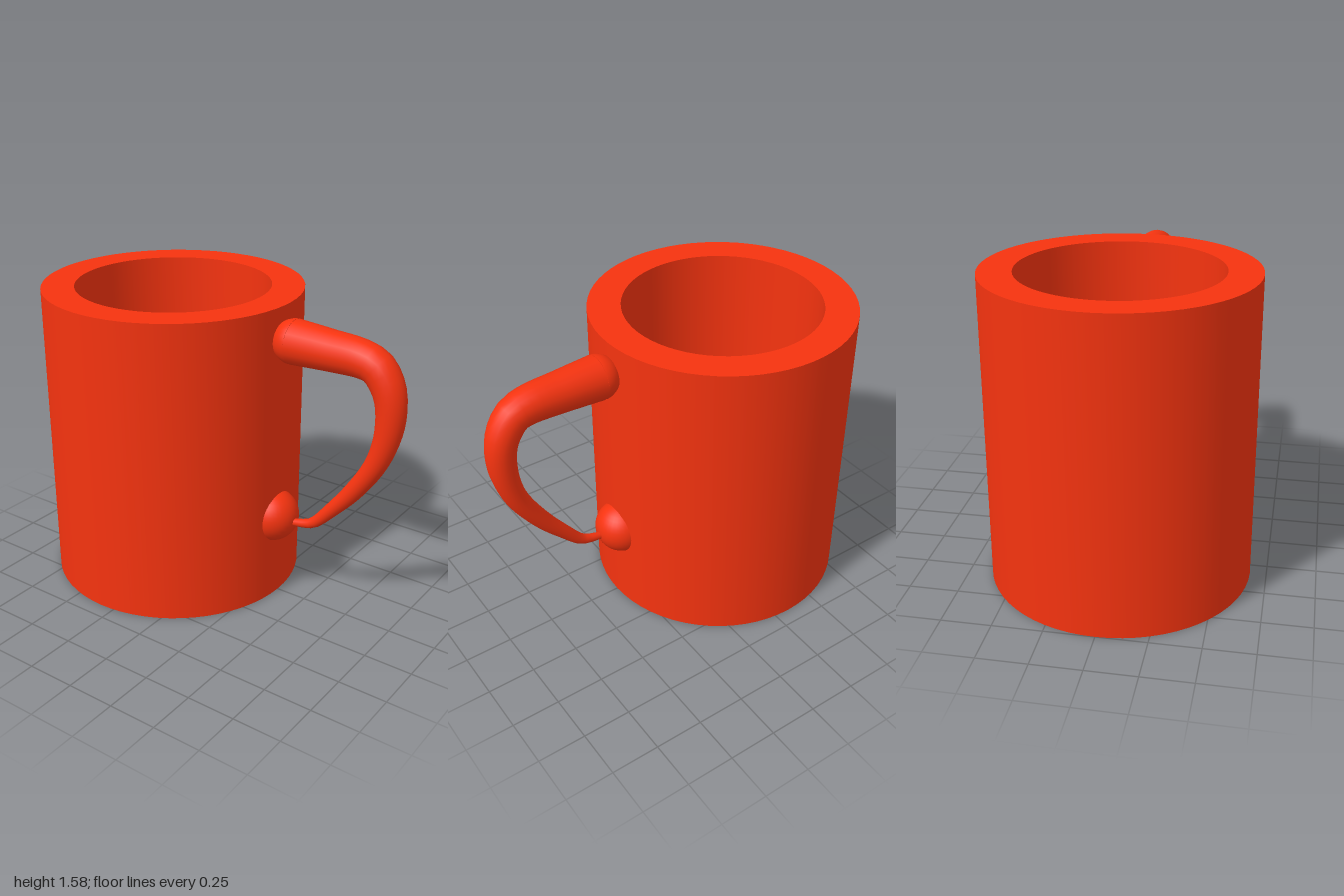
import * as THREE from 'three';
import { toCreasedNormals } from 'three/addons/utils/BufferGeometryUtils.js';

// Tube along a smooth curve; each point is [x, y, radius]
function taperedTube(points, segments, sides) {
  const curve = new THREE.CatmullRomCurve3(points.map(([x, y]) => new THREE.Vector3(x, y, 0)));
  const geo = new THREE.TubeGeometry(curve, segments, 1, sides, false);
  const pos = geo.attributes.position;
  const v = new THREE.Vector3();
  for (let i = 0; i <= segments; i++) {
    const u = i / segments;
    const centre = curve.getPointAt(u);
    const t = curve.getUtoTmapping(u) * (points.length - 1);
    const k = Math.min(Math.floor(t), points.length - 2);
    const radius = THREE.MathUtils.lerp(points[k][2], points[k + 1][2], t - k);
    for (let j = 0; j <= sides; j++) {
      const n = i * (sides + 1) + j;
      v.fromBufferAttribute(pos, n).sub(centre).multiplyScalar(radius).add(centre);
      pos.setXYZ(n, v.x, v.y, v.z);
    }
  }
  return geo;
}

export function createModel() {
  const model = new THREE.Group();
  model.name = 'mug';
  const red = new THREE.MeshStandardMaterial({ color: 0xf5330f });

  function add(name, geometry, x = 0, y = 0, parent = model) {
    const mesh = new THREE.Mesh(geometry, red);
    mesh.name = name;
    mesh.position.set(x, y, 0);
    parent.add(mesh);
    return mesh;
  }

  // Thick-walled cup with a shallow recess underneath
  const profile = [
    [0, 0.05], [0.5, 0.05], [0.5, 0], [0.667, 0],
    [0.667, 1.577], [0.5, 1.577], [0.5, 0.15], [0, 0.15],
  ].map(([r, y]) => new THREE.Vector2(r, y));
  add('cup', toCreasedNormals(new THREE.LatheGeometry(profile, 64), 0.6), -0.333, 0);

  // Handle: thick at the top, tapering to a thin tail
  const handle = new THREE.Group();
  handle.name = 'handle';
  model.add(handle);
  const path = [
    [0.4, 1.41, 0.112], [0.6, 1.407, 0.1], [0.77, 1.4, 0.092],
    [0.845, 1.374, 0.087], [0.9, 1.3, 0.082], [0.924, 1.22, 0.076],
    [0.926, 1.11, 0.07], [0.905, 0.995, 0.061], [0.86, 0.877, 0.054],
    [0.749, 0.706, 0.046], [0.636, 0.572, 0.036], [0.551, 0.481, 0.029],
    [0.513, 0.458, 0.025], [0.4, 0.432, 0.018],
  ];
  add('handleArm', taperedTube(path, 40, 20), 0, 0, handle);

  // Rounded upper end, pressed into the cup wall
  const cap = new THREE.SphereGeometry(0.112, 24, 12, 0, Math.PI * 2, 0, Math.PI / 2);
  add('handleUpperEnd', cap, 0.4, 1.41, handle).rotation.z = Math.PI / 2;

  // Ball that joins the thin tail to the cup
  add('handleLowerBall', new THREE.SphereGeometry(0.138, 32, 20), 0.293, 0.445, handle);

  return model;
}
